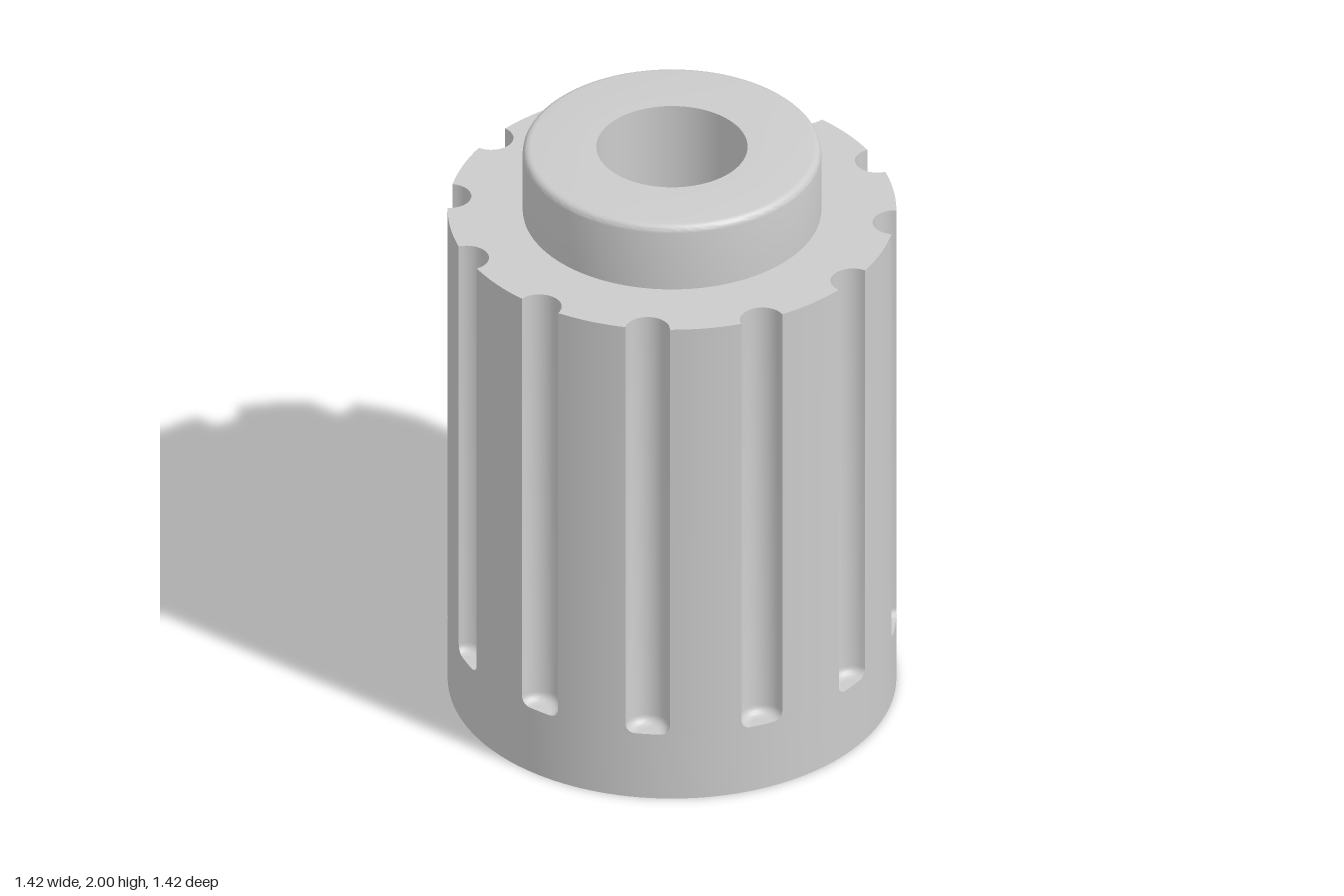
import * as THREE from 'three';
import { toCreasedNormals } from 'three/addons/utils/BufferGeometryUtils.js';

const R = 0.712, BORE = 0.24, COLLAR = 0.474;
const BASE_Y = 0.24, TOP_Y = 1.765, HEIGHT = 2;
const GROOVES = 12, GROOVE_R = 0.071, FILLET = 0.03;
const STEP = (Math.PI * 2) / GROOVES;

// Half the angle a groove of radius g takes out of the rim
const halfAngle = (g) => 2 * Math.asin(g / (2 * R));
const polar = (a) => new THREE.Vector2(R * Math.cos(a), R * Math.sin(a));

// Concave arc of one groove, counter-clockwise along the outline
function grooveArc(g, turn, n = 16) {
  const a = halfAngle(g), start = 1.5 * Math.PI - a / 2, end = 0.5 * Math.PI + a / 2;
  return Array.from({ length: n + 1 }, (_, i) => {
    const t = start + ((end - start) * i) / n;
    return new THREE.Vector2(R + g * Math.cos(t), g * Math.sin(t)).rotateAround(new THREE.Vector2(), turn);
  });
}

// Closed fluted outline: groove arcs joined by stretches of the rim
function flutedOutline(g) {
  const points = [], a = halfAngle(g), n = 10;
  for (let k = 0; k < GROOVES; k++) {
    points.push(...grooveArc(g, k * STEP));
    for (let i = 1; i < n; i++) points.push(polar(k * STEP + a + ((STEP - 2 * a) * i) / n));
  }
  return points;
}

// Skin through stacked outlines with equal point counts
function loft(layers) {
  const pos = [], index = [], n = layers[0].points.length;
  for (const { y, points } of layers) for (const p of points) pos.push(p.x, y, -p.y);
  for (let l = 0; l < layers.length - 1; l++) {
    for (let i = 0; i < n; i++) {
      const a = l * n + i, b = l * n + ((i + 1) % n);
      index.push(a, b, b + n, a, b + n, a + n);
    }
  }
  const geo = new THREE.BufferGeometry();
  geo.setAttribute('position', new THREE.Float32BufferAttribute(pos, 3));
  geo.setIndex(index);
  return toCreasedNormals(geo, 0.5);
}

// Flat upward-facing shape at height y
const flat = (shape, y) => new THREE.ShapeGeometry(shape, 72).rotateX(-Math.PI / 2).translate(0, y, 0);

export function createModel() {
  const group = new THREE.Group();
  const material = new THREE.MeshStandardMaterial({ color: 0xcccccc });
  const add = (name, geo) => {
    const mesh = new THREE.Mesh(geo, material);
    mesh.name = name;
    group.add(mesh);
  };

  // Collar with rounded edge, through bore, underside and plain base band
  const round = 0.025, profile = [new THREE.Vector2(COLLAR, TOP_Y)];
  for (let i = 0; i <= 5; i++) {
    const t = (i / 5) * (Math.PI / 2);
    profile.push(new THREE.Vector2(COLLAR - round + round * Math.cos(t), HEIGHT - round + round * Math.sin(t)));
  }
  for (const [x, y] of [[BORE, HEIGHT], [BORE, 0], [R, 0], [R, BASE_Y]]) profile.push(new THREE.Vector2(x, y));
  add('collarBoreAndBase', toCreasedNormals(new THREE.LatheGeometry(profile, 144), 0.5));

  // Fluted wall, each groove rounding into its floor
  const layers = [];
  for (let k = 0; k <= 5; k++) {
    const t = (k / 5) * (Math.PI / 2);
    layers.push({
      y: BASE_Y + FILLET * (1 - Math.cos(t)),
      points: flutedOutline(GROOVE_R - FILLET + FILLET * Math.sin(t)),
    });
  }
  layers.push({ y: TOP_Y, points: flutedOutline(GROOVE_R) });
  add('flutedWall', loft(layers));

  // Shoulder around the collar
  const shoulder = new THREE.Shape(flutedOutline(GROOVE_R));
  shoulder.holes.push(new THREE.Path().absarc(0, 0, COLLAR, 0, Math.PI * 2, true));
  add('shoulder', flat(shoulder, TOP_Y));

  // Groove floors
  const g = GROOVE_R - FILLET, a = halfAngle(g);
  for (let k = 0; k < GROOVES; k++) {
    const rim = [0.5, 0, -0.5].map((f) => polar(k * STEP + f * a));
    add('grooveFloor', flat(new THREE.Shape([...grooveArc(g, k * STEP), ...rim]), BASE_Y));
  }
  return group;
}
